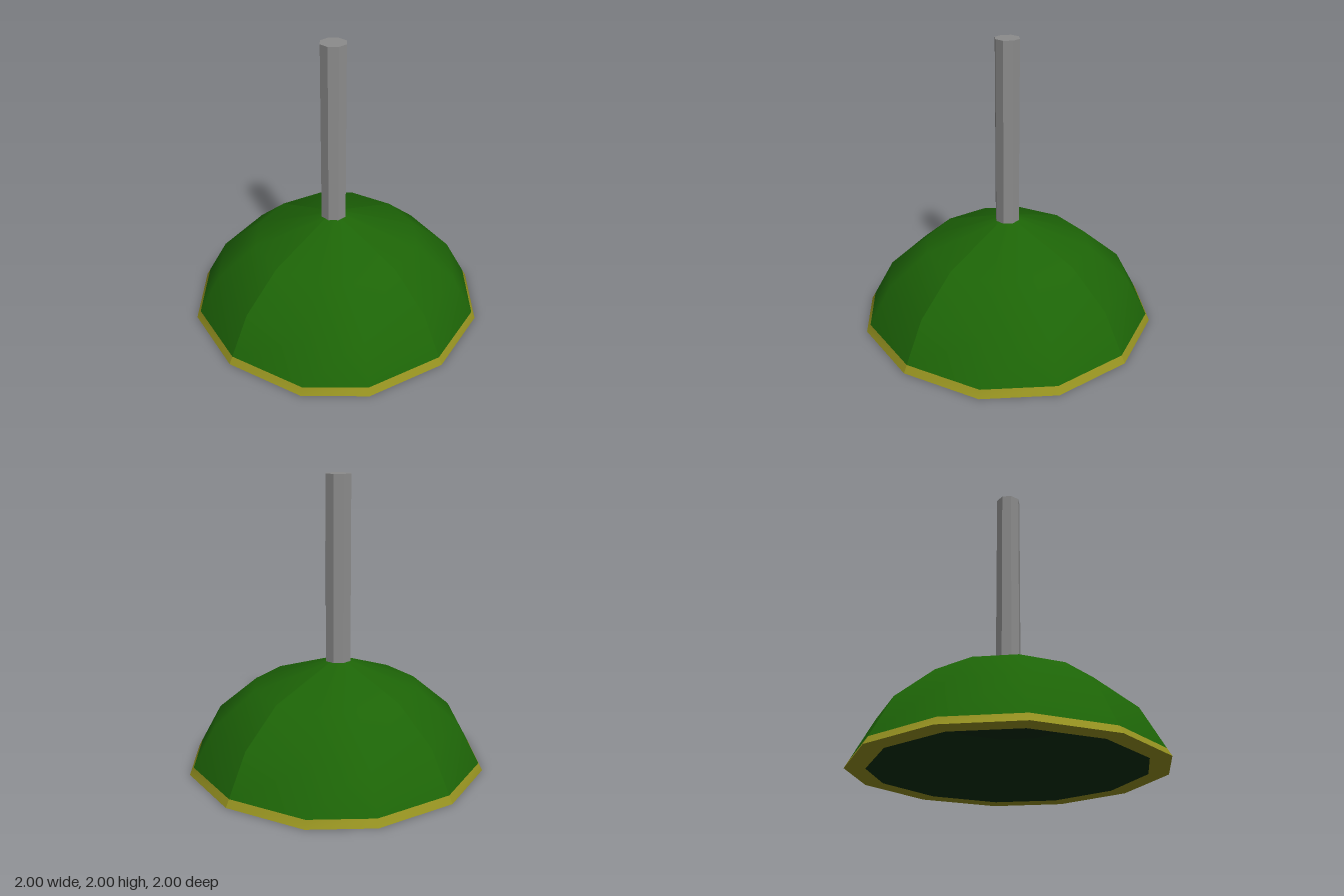
import * as THREE from 'three';

const mat = (name, color) => {
  const m = new THREE.MeshStandardMaterial({ color });
  m.name = name;
  return m;
};

// Twelve-sided outline of unit size, mirrored from one quadrant
const quarter = [[1, 0.25], [0.71, 0.72], [0.22, 1]];
const outline = [
  ...quarter,
  ...quarter.map(([x, z]) => [-x, z]).reverse(),
  ...quarter.map(([x, z]) => [-x, -z]),
  ...quarter.map(([x, z]) => [x, -z]).reverse(),
];

// Skin through rings [scale, y, xOffset]; outward when the rings run upwards.
// Covers `sides` sides of the outline from corner `start`.
function loft(rings, start = 0, sides = 12) {
  const n = sides + 1, pos = [], index = [];
  for (const [s, y, dx = 0] of rings)
    for (let i = 0; i < n; i++) {
      const [x, z] = outline[(start + i) % 12];
      pos.push(x * s + dx, y, z * s);
    }
  for (let r = 0; r < rings.length - 1; r++)
    for (let i = 0; i < sides; i++) {
      const a = r * n + i, b = a + 1;
      index.push(a, a + n, b, b, a + n, b + n);
    }
  const g = new THREE.BufferGeometry();
  g.setAttribute('position', new THREE.Float32BufferAttribute(pos, 3));
  g.setIndex(index);
  g.computeVertexNormals();
  return g;
}

export function createModel() {
  const group = new THREE.Group();
  const green = mat('shade green', 0x1d6407);
  const inside = mat('inner dark green', 0x052a08);
  const olive = mat('rim yellow', 0x959120);
  const grey = mat('pole grey', 0x8c8c8c);
  const add = (name, geometry, material) => {
    const mesh = new THREE.Mesh(geometry, material);
    mesh.name = name;
    group.add(mesh);
    return mesh;
  };

  // Outer dome: four panels creased on the diagonals, each with its rim band
  const profile = [[0.973, 0.05], [0.83, 0.32], [0.56, 0.555], [0.07, 0.735, -0.018]];
  for (const start of [1, 4, 7, 10]) {
    add('shadePanel', loft(profile, start, 3), green);
    add('rimBand', loft([[1, 0], [0.973, 0.05]], start, 3), olive);
  }

  // Small flat top under the pole
  add('shadeTop', loft([[0.07, 0.735, -0.018], [0, 0.735, -0.018]]), green);

  // Flat underside of the rim
  add('rimUnderside', loft([[0.87, 0], [1, 0]]), olive);

  // Hollow inside, rings run downwards so the faces look inwards
  add('innerCeiling', loft([[0, 0.36], [0.5, 0.36]]), inside);
  add('innerWall', loft([[0.5, 0.36], [0.87, 0]]), inside);

  // Eight-sided hanging pole with flat sides facing the axes
  const pole = new THREE.CylinderGeometry(0.086, 0.086, 1.27, 8, 1).rotateY(Math.PI / 8).toNonIndexed();
  pole.computeVertexNormals();
  const mesh = add('pole', pole, grey);
  mesh.scale.set(1.05, 1, 0.98);
  mesh.position.set(-0.017, 1.365, 0);

  return group;
}
